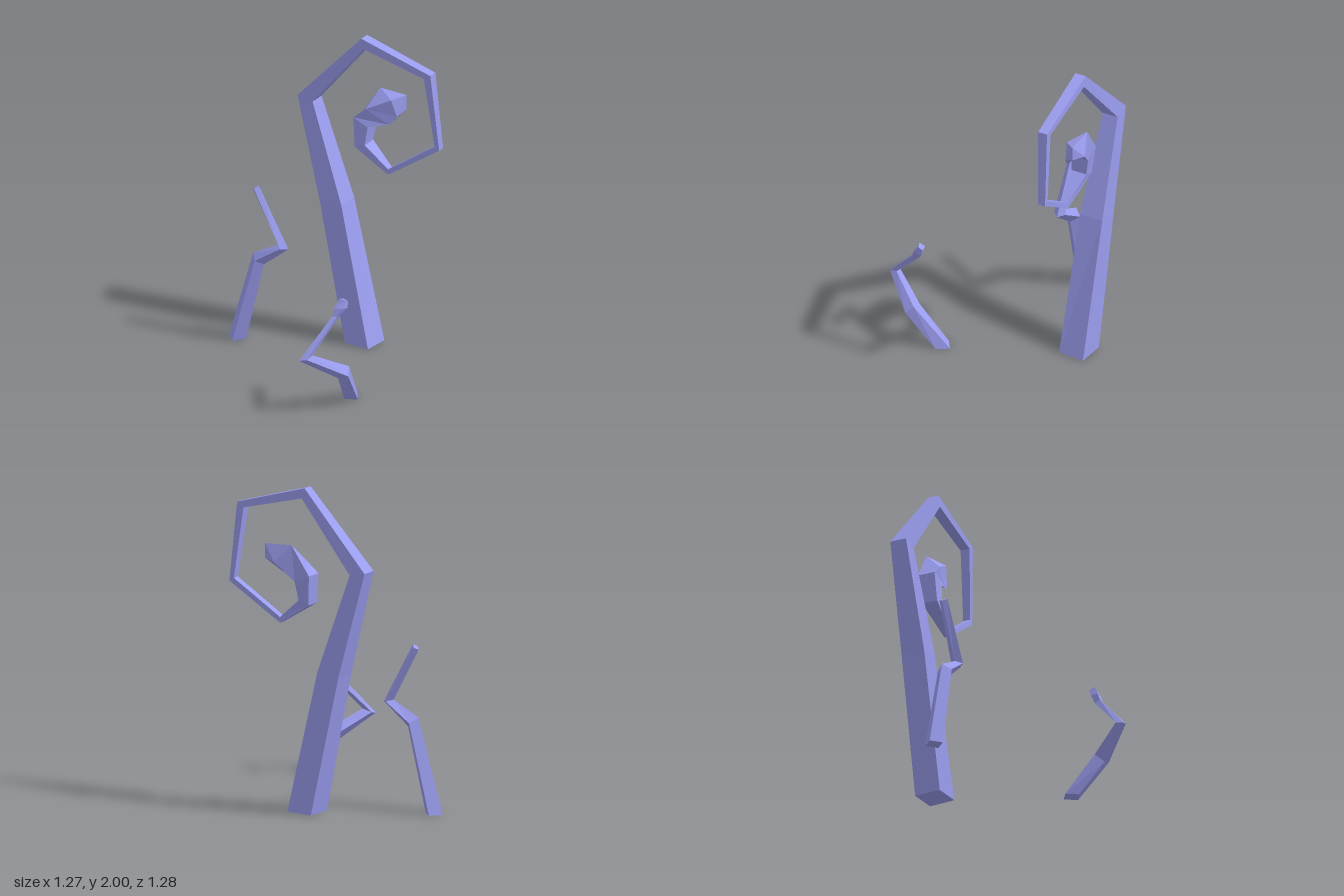
import * as THREE from 'three';

const material = new THREE.MeshStandardMaterial({ color: 0x9a9cee, flatShading: true });

// Skins a list of four-cornered rings (anticlockwise seen from the tip) and caps both ends.
function loft(name, rings) {
  const positions = [];
  const quad = (a, b, c, d) => {
    for (const p of [a, b, c, a, c, d]) positions.push(...p);
  };
  for (let i = 0; i + 1 < rings.length; i++) {
    for (let j = 0; j < 4; j++) {
      const k = (j + 1) % 4;
      quad(rings[i][j], rings[i][k], rings[i + 1][k], rings[i + 1][j]);
    }
  }
  const first = rings[0];
  quad(first[3], first[2], first[1], first[0]);
  quad(...rings[rings.length - 1]);
  const geometry = new THREE.BufferGeometry();
  geometry.setAttribute('position', new THREE.Float32BufferAttribute(positions, 3));
  geometry.computeVertexNormals();
  const mesh = new THREE.Mesh(geometry, material);
  mesh.name = name;
  return mesh;
}

// Square ring: outer edge and inner edge in the xy plane, spanning front z to back z.
const squareRing = ([ox, oy, ix, iy, front, back]) => [
  [ox, oy, back], [ox, oy, front], [ix, iy, front], [ix, iy, back],
];

// Diamond ring: outer and inner points, with front and back points half-way between.
const diamondRing = ([ox, oy, ix, iy, half]) => {
  const z = -0.18, mx = (ox + ix) / 2, my = (oy + iy) / 2;
  return [[ox, oy, z], [mx, my, z + half], [ix, iy, z], [mx, my, z - half]];
};

export function createModel() {
  const group = new THREE.Group();
  group.name = 'tentacles';

  // Tall tentacle: foot, stem and spiral
  const spiral = [
    [-0.16, 0.86, -0.015, 0.89, -0.452, -0.603],
    [-0.34, 1.53, -0.235, 1.51, -0.485, -0.59],
    [0.105, 2.0, 0.125, 1.935, -0.485, -0.555],
    [0.585, 1.86, 0.54, 1.83, -0.49, -0.55],
    [0.632, 1.37, 0.6, 1.39, -0.515, -0.562],
    [0.29, 1.145, 0.29, 1.18, -0.49, -0.535],
    [0.065, 1.285, 0.135, 1.31, -0.475, -0.575],
    [0.05, 1.47, 0.15, 1.425, -0.485, -0.595],
  ].map(squareRing);
  const foot = [[0.03, 0, -0.605], [0.02, 0, -0.435], [0.19, 0, -0.42], [0.205, 0, -0.59]];
  // Swollen tip inside the spiral
  const bulb = [
    [[0.17, 1.65, -0.6], [0.13, 1.54, -0.49], [0.28, 1.46, -0.52], [0.27, 1.54, -0.637]],
    [[0.355, 1.642, -0.6], [0.29, 1.62, -0.525], [0.325, 1.515, -0.535], [0.355, 1.55, -0.6]],
  ];
  group.add(loft('tallSpiralTentacle', [foot, ...spiral, ...bulb]));

  // Bent tentacle on the right
  group.add(loft('bentTentacle', [
    [-0.64, 0, -0.52, 0, 0.06],
    [-0.47, 0.58, -0.395, 0.52, 0.047],
    [-0.295, 0.672, -0.225, 0.655, 0.038],
    [-0.47, 1.0, -0.43, 1.03, 0.026],
  ].map(diamondRing)));

  // Small hooked tentacle in front, with a swollen tip
  group.add(loft('smallHookedTentacle', [
    [[0.4, 0, 0.22], [0.445, 0, 0.29], [0.515, 0, 0.25], [0.47, 0, 0.175]],
    [[0.465, 0.255, 0.385], [0.49, 0.205, 0.44], [0.558, 0.23, 0.435], [0.537, 0.275, 0.388]],
    [[0.335, 0.37, 0.59], [0.335, 0.36, 0.64], [0.385, 0.373, 0.632], [0.395, 0.388, 0.582]],
    [[0.445, 0.585, 0.395], [0.445, 0.6, 0.43], [0.475, 0.6, 0.43], [0.47, 0.585, 0.395]],
    [[0.445, 0.64, 0.37], [0.443, 0.645, 0.415], [0.5, 0.65, 0.41], [0.505, 0.64, 0.355]],
    [[0.47, 0.69, 0.345], [0.47, 0.705, 0.385], [0.505, 0.695, 0.375], [0.505, 0.68, 0.345]],
  ]));

  return group;
}
